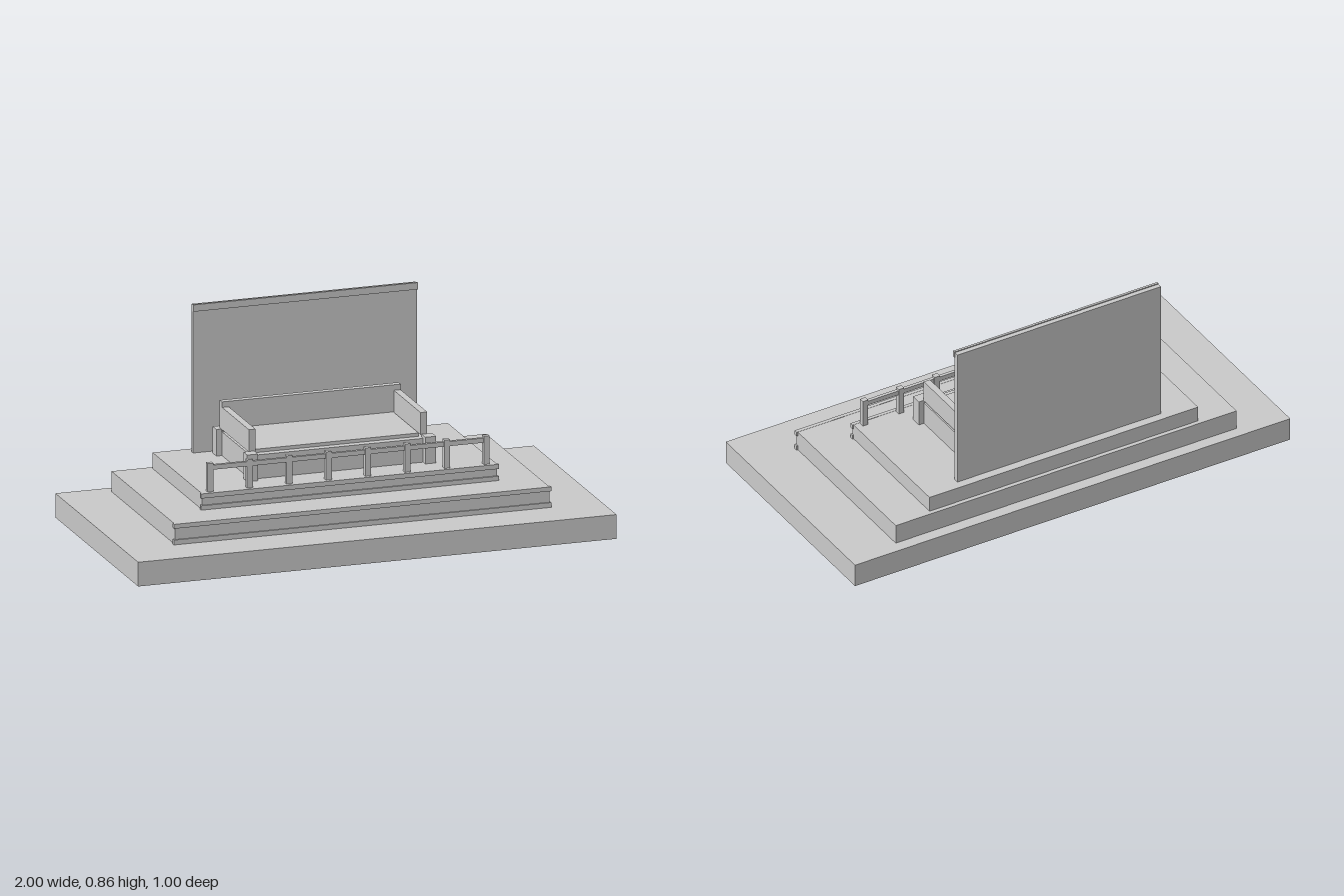
import * as THREE from 'three';

export function createModel() {
  const model = new THREE.Group();
  const stone = new THREE.MeshStandardMaterial({ color: 0xcccccc, side: THREE.DoubleSide });
  stone.name = 'pale grey stone';

  // Box between two extents on each axis
  function box(name, [x0, x1], [y0, y1], [z0, z1]) {
    const geometry = new THREE.BoxGeometry(x1 - x0, y1 - y0, z1 - z0);
    const mesh = new THREE.Mesh(geometry, stone);
    mesh.position.set((x0 + x1) / 2, (y0 + y1) / 2, (z0 + z1) / 2);
    mesh.name = name;
    model.add(mesh);
    return mesh;
  }
  const span = (h) => [-h, h];

  // Hollow base, open underneath: drop the bottom face (fourth of six)
  const base = box('base', span(1), [0, 0.1], span(0.5));
  const index = Array.from(base.geometry.index.array);
  index.splice(18, 6);
  base.geometry.setIndex(index);
  base.geometry.clearGroups();

  // Two terraces with moulding strips along the front
  box('lowerTerrace', span(0.783), [0.1, 0.184], [-0.45, 0.317]);
  box('lowerTerraceTopMoulding', span(0.789), [0.167, 0.185], [0.307, 0.323]);
  box('lowerTerraceBottomMoulding', span(0.789), [0.1, 0.12], [0.307, 0.323]);
  box('upperTerrace', span(0.617), [0.184, 0.25], [-0.432, 0.164]);
  box('upperTerraceTopMoulding', span(0.623), [0.232, 0.251], [0.156, 0.171]);
  box('upperTerraceBottomMoulding', span(0.623), [0.184, 0.202], [0.156, 0.171]);

  // Front railing
  for (let i = 0; i < 8; i++) {
    const x = -0.577 + i * 0.1649;
    box('railingPost', [x - 0.012, x + 0.012], [0.25, 0.367], [0.13, 0.152]);
  }
  box('handrail', span(0.587), [0.339, 0.358], [0.134, 0.148]);

  // Seat body, thin seat slab and corner pillars
  box('seatBody', span(0.372), [0.25, 0.348], [-0.325, 0.042]);
  box('seatSlab', span(0.342), [0.348, 0.362], [-0.296, 0.01]);
  for (const s of [-1, 1]) {
    const x = [s * 0.3725 - 0.0225, s * 0.3725 + 0.0225];
    box('frontPillar', x, [0.25, 0.36], [0.024, 0.069]);
    box('backPillar', x, [0.25, 0.36], [-0.348, -0.303]);
    // Side walls of the seat
    const w = [s * 0.359 - 0.014, s * 0.359 + 0.014];
    box('seatSideWall', w, [0.358, 0.45], [-0.298, 0.024]);
  }
  box('seatBackWall', span(0.374), [0.348, 0.473], [-0.325, -0.298]);

  // Tall screen behind, with a trim strip along the top front
  box('screen', span(0.468), [0.25, 0.859], [-0.396, -0.373]);
  box('screenTrim', span(0.469), [0.835, 0.863], [-0.376, -0.366]);

  return model;
}
